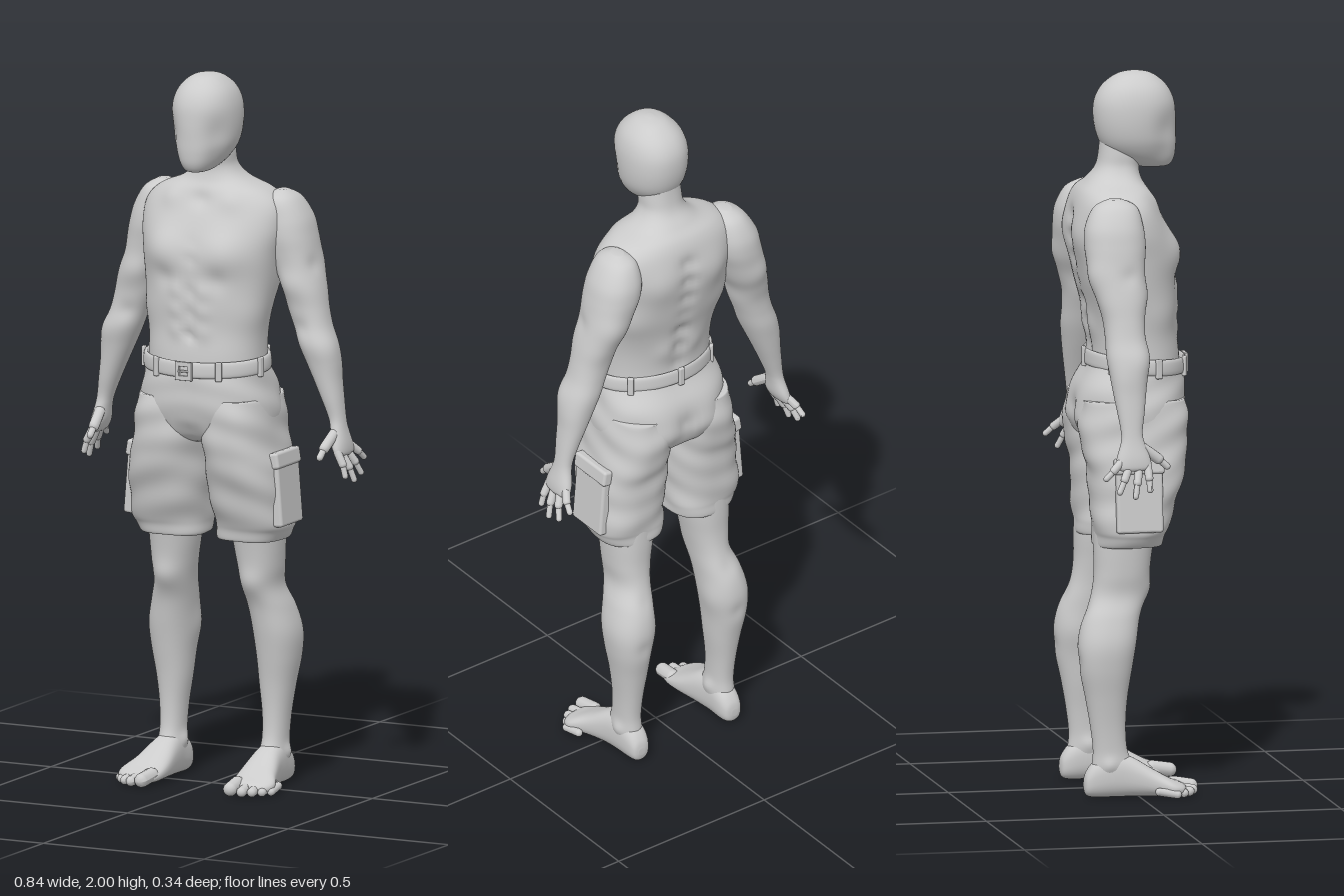
import * as THREE from 'three';
import { RoundedBoxGeometry } from 'three/addons/geometries/RoundedBoxGeometry.js';

const material = new THREE.MeshStandardMaterial({ color: 0xcccccc, side: THREE.DoubleSide });

// Smooth skin over sections [t, a0, a1, b0, b1]: a runs along x, b along z (axis 'y', listed
// top to bottom) or along y (axis 'z', listed back to front). n is the superellipse exponent.
function loft(sections, { axis = 'y', n = 2.2, around = 48, sub = 6 } = {}) {
  const rows = [], last = sections.length - 1, pos = [], idx = [];
  for (let k = 0; k <= last * sub; k++) {
    const i = Math.min(Math.floor(k / sub), last - 1), u = k / sub - i;
    const s = (j) => sections[Math.max(0, Math.min(last, j))];
    rows.push(s(0).map((_, c) => {
      const [p, q, r, w] = [s(i - 1)[c], s(i)[c], s(i + 1)[c], s(i + 2)[c]];
      return q + 0.5 * u * (r - p + u * (2 * p - 5 * q + 4 * r - w + u * (3 * (q - r) + w - p)));
    }));
  }
  const put = (t, a, b) => (axis === 'y' ? pos.push(a, t, b) : pos.push(a, Math.max(0, b), t));
  const bend = (v) => Math.sign(v) * Math.abs(v) ** (2 / n);
  for (const [t, a0, a1, b0, b1] of rows)
    for (let j = 0; j < around; j++) {
      const th = (j / around) * Math.PI * 2;
      put(t, (a0 + a1) / 2 + bend(Math.cos(th)) * (a1 - a0) / 2, (b0 + b1) / 2 + bend(Math.sin(th)) * (b1 - b0) / 2);
    }
  const start = rows.length * around;
  for (const [t, a0, a1, b0, b1] of [rows[0], rows[rows.length - 1]]) put(t, (a0 + a1) / 2, (b0 + b1) / 2);
  for (let j = 0; j < around; j++) {
    const j1 = (j + 1) % around, end = (rows.length - 1) * around;
    idx.push(start, j1, j, end + j, end + j1, start + 1);
    for (let r = 0; r < rows.length - 1; r++) {
      const p = r * around, q = p + around;
      idx.push(p + j, p + j1, q + j, p + j1, q + j1, q + j);
    }
  }
  const g = new THREE.BufferGeometry();
  g.setAttribute('position', new THREE.Float32BufferAttribute(pos, 3));
  g.setIndex(idx);
  g.computeVertexNormals();
  return g;
}

// Pushes vertices along their normals by amount(x, y, z)
function displace(g, amount) {
  const p = g.attributes.position, m = g.attributes.normal;
  for (let i = 0; i < p.count; i++) {
    const d = amount(p.getX(i), p.getY(i), p.getZ(i));
    p.setXYZ(i, p.getX(i) + m.getX(i) * d, p.getY(i) + m.getY(i) * d, p.getZ(i) + m.getZ(i) * d);
  }
  g.computeVertexNormals();
  return g;
}

// Soft swellings and hollows [x, y, z, radius, height], the same on both sides of x = 0
const sculpt = (g, bumps) => displace(g, (x, y, z) => bumps.reduce((sum, [bx, by, bz, r, h]) =>
  sum + h * Math.exp(-((Math.abs(x) - bx) ** 2 + (y - by) ** 2 + (z - bz) ** 2) / (r * r)), 0));

// Rounded digit from a to b
function digit(a, b, r) {
  const from = new THREE.Vector3(...a), to = new THREE.Vector3(...b), dir = to.clone().sub(from);
  const g = new THREE.CapsuleGeometry(r, dir.length(), 5, 12);
  g.applyQuaternion(new THREE.Quaternion().setFromUnitVectors(new THREE.Vector3(0, 1, 0), dir.normalize()));
  return g.translate(...from.add(to).multiplyScalar(0.5).toArray());
}

function mirrored(geometry) {
  const g = geometry.index ? geometry.clone() : geometry.clone().setIndex([...Array(geometry.attributes.position.count).keys()]);
  g.scale(-1, 1, 1);
  const ix = g.index.array;
  for (let i = 0; i < ix.length; i += 3) [ix[i], ix[i + 1]] = [ix[i + 1], ix[i]];
  g.computeVertexNormals();
  return g;
}

export function createModel() {
  const model = new THREE.Group();
  const add = (name, g) => {
    const mesh = new THREE.Mesh(g, material);
    mesh.name = name;
    model.add(mesh);
  };
  const pair = (name, g) => {
    add('left' + name, g);
    add('right' + name, mirrored(g));
  };
  const sym = (list) => list.map(([y, w, back, front]) => [y, -w, w, back, front]);

  // Faceless head
  add('head', sculpt(loft(sym([
    [2.0, 0.008, 0.015, 0.035], [1.99, 0.042, -0.025, 0.075], [1.96, 0.074, -0.065, 0.112],
    [1.92, 0.09, -0.087, 0.133], [1.87, 0.094, -0.09, 0.14], [1.82, 0.089, -0.08, 0.141],
    [1.785, 0.076, -0.06, 0.14], [1.755, 0.056, -0.02, 0.135], [1.735, 0.034, 0.03, 0.122], [1.73, 0.012, 0.055, 0.1],
  ])), [[0.08, 1.84, 0.11, 0.05, -0.012], [0.07, 1.77, 0.1, 0.04, -0.006]]));

  // Neck, chest and waist
  const spine = [1.6, 1.54, 1.48, 1.42, 1.36, 1.3, 1.24].map((y) => [0, y, y > 1.4 ? -0.16 : -0.12, 0.024, -0.012]);
  const abs = [1.4, 1.345, 1.29].map((y) => [0.04, y, 0.135, 0.024, 0.007]);
  const midline = [1.54, 1.49, 1.4, 1.34, 1.28].map((y) => [0, y, 0.135, 0.018, -0.006]);
  add('torso', sculpt(loft(sym([
    [1.86, 0.05, -0.07, 0.05], [1.78, 0.058, -0.075, 0.045], [1.735, 0.063, -0.085, 0.035], [1.7, 0.095, -0.112, 0.042],
    [1.67, 0.165, -0.138, 0.06], [1.63, 0.205, -0.152, 0.078], [1.57, 0.212, -0.158, 0.105], [1.5, 0.2, -0.152, 0.128],
    [1.43, 0.19, -0.14, 0.132], [1.36, 0.18, -0.122, 0.135], [1.29, 0.17, -0.108, 0.134],
    [1.22, 0.168, -0.104, 0.142], [1.14, 0.17, -0.11, 0.145],
  ]), { n: 2.3, around: 80 }), [
    ...spine, ...abs, ...midline,
    [0.09, 1.51, 0.11, 0.06, 0.018], [0.08, 1.435, 0.13, 0.03, -0.008], // pectorals
    [0.09, 1.55, -0.15, 0.06, 0.012], [0.15, 1.43, -0.08, 0.06, 0.01], // shoulder blades, lats
    [0.045, 1.3, -0.11, 0.035, 0.008], [0.09, 1.645, 0.06, 0.03, 0.006], // lower back, collarbones
    [0.14, 1.33, 0.06, 0.05, 0.006], [0, 1.65, 0.07, 0.025, -0.01], [0, 1.275, 0.136, 0.009, -0.007],
  ]));

  // Arms down to the palm, with muscles
  pair('Arm', sculpt(loft([
    [1.672, 0.17, 0.2, -0.09, -0.05], [1.65, 0.14, 0.235, -0.13, -0.01], [1.6, 0.13, 0.266, -0.155, 0.005],
    [1.55, 0.135, 0.28, -0.16, 0.01], [1.5, 0.155, 0.29, -0.155, 0.005], [1.45, 0.175, 0.302, -0.148, 0],
    [1.4, 0.2, 0.315, -0.135, 0], [1.35, 0.213, 0.325, -0.122, -0.005], [1.3, 0.232, 0.337, -0.118, -0.005],
    [1.25, 0.25, 0.355, -0.118, 0], [1.2, 0.272, 0.366, -0.112, -0.008], [1.15, 0.295, 0.37, -0.105, -0.015],
    [1.1, 0.317, 0.376, -0.097, -0.022], [1.05, 0.337, 0.382, -0.09, -0.03], [1.02, 0.345, 0.387, -0.092, -0.026],
    [0.98, 0.352, 0.396, -0.105, -0.012], [0.955, 0.364, 0.398, -0.108, -0.01], [0.945, 0.374, 0.394, -0.095, -0.025],
  ]), [[0.24, 1.42, 0, 0.04, 0.008], [0.29, 1.47, -0.05, 0.025, -0.006], [0.25, 1.47, -0.14, 0.04, 0.007],
    [0.27, 1.3, -0.01, 0.025, -0.006], [0.35, 1.24, -0.03, 0.04, 0.005]]));

  // Spread fingers [base, tip] and thumb
  [[[0.381, 0.957, -0.02], [0.406, 0.893, -0.018]], [[0.382, 0.95, -0.045], [0.412, 0.877, -0.06]],
    [[0.382, 0.955, -0.073], [0.41, 0.89, -0.104]], [[0.38, 0.968, -0.096], [0.4, 0.927, -0.14]]].forEach(([a, b], i) => {
    const mid = a.map((v, c) => (v + b[c]) / 2 + (c === 0 ? 0.004 : 0));
    pair('Finger' + (i + 1), digit(a, mid, 0.0115));
    pair('Fingertip' + (i + 1), digit(mid, b, 0.0085));
  });
  pair('ThumbBase', digit([0.364, 1.005, -0.03], [0.358, 0.972, 0.015], 0.015));
  pair('Thumb', digit([0.358, 0.972, 0.015], [0.357, 0.95, 0.04], 0.0095));

  // Cloth folds shared by the shorts
  const folds = (x, y, z) => 0.0022 * Math.sin(38 * y + 24 * Math.abs(x) + 9 * z) + 0.0016 * Math.sin(75 * y - 30 * z + 14 * Math.abs(x));

  // Shorts: seat and two loose legs with hollow hems
  add('shortsSeat', displace(sculpt(loft(sym([
    [1.2, 0.168, -0.106, 0.148], [1.18, 0.178, -0.114, 0.152], [1.13, 0.188, -0.138, 0.156], [1.08, 0.196, -0.148, 0.156],
    [1.03, 0.2, -0.146, 0.148], [0.99, 0.19, -0.13, 0.12], [0.97, 0.12, -0.08, 0.07],
  ]), { n: 2.4, around: 72 }), [[0.085, 1.07, -0.15, 0.06, 0.012], [0, 1.06, -0.15, 0.03, -0.016], [0, 1.0, 0.14, 0.04, -0.012]]), folds));
  pair('ShortsLeg', displace(loft([
    [1.1, 0.02, 0.188, -0.14, 0.14], [1.05, 0.012, 0.199, -0.152, 0.15], [1.0, 0.007, 0.207, -0.15, 0.15],
    [0.95, 0.007, 0.216, -0.142, 0.144], [0.9, 0.009, 0.226, -0.133, 0.135], [0.82, 0.014, 0.235, -0.124, 0.112],
    [0.75, 0.019, 0.236, -0.122, 0.088], [0.725, 0.022, 0.226, -0.118, 0.078], [0.7, 0.026, 0.215, -0.115, 0.072],
    [0.705, 0.036, 0.206, -0.107, 0.063], [0.76, 0.04, 0.2, -0.1, 0.06],
  ], { n: 2.5, around: 56 }), folds));

  // Cargo pockets with flaps
  const box = (w, h, d, tilt, x, y, z) => new RoundedBoxGeometry(w, h, d, 3, 0.008).rotateZ(tilt).translate(x, y, z);
  pair('CargoPocket', box(0.03, 0.18, 0.13, 0.08, 0.226, 0.835, -0.01));
  pair('PocketFlap', box(0.03, 0.045, 0.14, 0.16, 0.222, 0.93, -0.01));

  // Belt, lower at the front, with loops and buckle
  const beltAt = (a, grow = 0) => [(0.18 + grow) * Math.sin(a), 1.197 - 0.05 * Math.cos(a) * 0.25, 0.024 + (0.136 + grow) * Math.cos(a)];
  const belt = loft(sym([
    [1.185, 0.165, -0.1, 0.146], [1.213, 0.174, -0.109, 0.156], [1.21, 0.183, -0.116, 0.163],
    [1.19, 0.186, -0.118, 0.165], [1.172, 0.184, -0.117, 0.163], [1.17, 0.172, -0.106, 0.152],
  ]), { n: 2, around: 72, sub: 3 });
  const bp = belt.attributes.position;
  for (let i = 0; i < bp.count; i++) bp.setY(i, bp.getY(i) + 0.006 - 0.08 * bp.getZ(i));
  belt.computeVertexNormals();
  add('belt', belt);
  [0.55, 1.35, 2.3, Math.PI, -2.3, -1.35, -0.55].forEach((a, i) => {
    const [x, , z] = beltAt(a, 0.006);
    add('beltLoop' + (i + 1), new RoundedBoxGeometry(0.018, 0.056, 0.012, 2, 0.004).rotateY(a).translate(x, 1.197 - 0.08 * z, z));
  });
  const frame = new THREE.Shape([[-0.024, -0.024], [0.024, -0.024], [0.024, 0.024], [-0.024, 0.024]].map((p) => new THREE.Vector2(...p)));
  frame.holes.push(new THREE.Path([[-0.015, -0.015], [-0.015, 0.015], [0.015, 0.015], [0.015, -0.015]].map((p) => new THREE.Vector2(...p))));
  add('buckle', new THREE.ExtrudeGeometry(frame, { depth: 0.006, bevelSize: 0.002, bevelThickness: 0.002, bevelSegments: 2 }).translate(0, 1.183, 0.163));
  add('bucklePin', new RoundedBoxGeometry(0.034, 0.006, 0.006, 2, 0.002).translate(0, 1.183, 0.169));

  // Legs
  pair('Leg', sculpt(loft([
    [0.82, 0.05, 0.205, -0.115, 0.07], [0.7, 0.06, 0.2, -0.118, 0.048], [0.62, 0.073, 0.195, -0.118, 0.036],
    [0.56, 0.083, 0.19, -0.127, 0.026], [0.5, 0.09, 0.21, -0.152, 0.006], [0.43, 0.098, 0.226, -0.166, -0.006],
    [0.36, 0.105, 0.222, -0.164, -0.018], [0.28, 0.112, 0.208, -0.148, -0.03], [0.2, 0.122, 0.197, -0.134, -0.035],
    [0.13, 0.125, 0.193, -0.126, -0.03], [0.08, 0.122, 0.194, -0.13, -0.01], [0.04, 0.13, 0.185, -0.13, 0],
  ]), [[0.135, 0.58, 0.03, 0.035, 0.009], [0.11, 0.42, -0.12, 0.05, 0.008], [0.16, 0.38, -0.17, 0.025, -0.005],
    [0.12, 0.1, -0.075, 0.02, 0.008], [0.195, 0.09, -0.085, 0.02, 0.008], [0.14, 0.52, -0.15, 0.03, -0.005]]));

  // Bare feet and toes
  pair('Foot', loft([
    [-0.152, 0.15, 0.17, 0.025, 0.045], [-0.145, 0.133, 0.184, 0.006, 0.07], [-0.12, 0.123, 0.192, 0, 0.1],
    [-0.07, 0.12, 0.198, 0, 0.122], [-0.02, 0.115, 0.205, 0, 0.11], [0.04, 0.109, 0.222, 0, 0.075],
    [0.085, 0.11, 0.24, 0, 0.05], [0.115, 0.115, 0.228, 0.003, 0.037], [0.13, 0.122, 0.2, 0.008, 0.028],
  ], { axis: 'z', n: 2.4, around: 40 }));
  [[0.138, 0.153, 0.02], [0.172, 0.151, 0.0145], [0.197, 0.138, 0.0135], [0.218, 0.118, 0.0125], [0.235, 0.096, 0.0115]].forEach(([x, z, r], i) =>
    pair('Toe' + (i + 1), digit([x - 0.004, r + 0.008, z - 0.05], [x, r, z], r)));

  return model;
}
